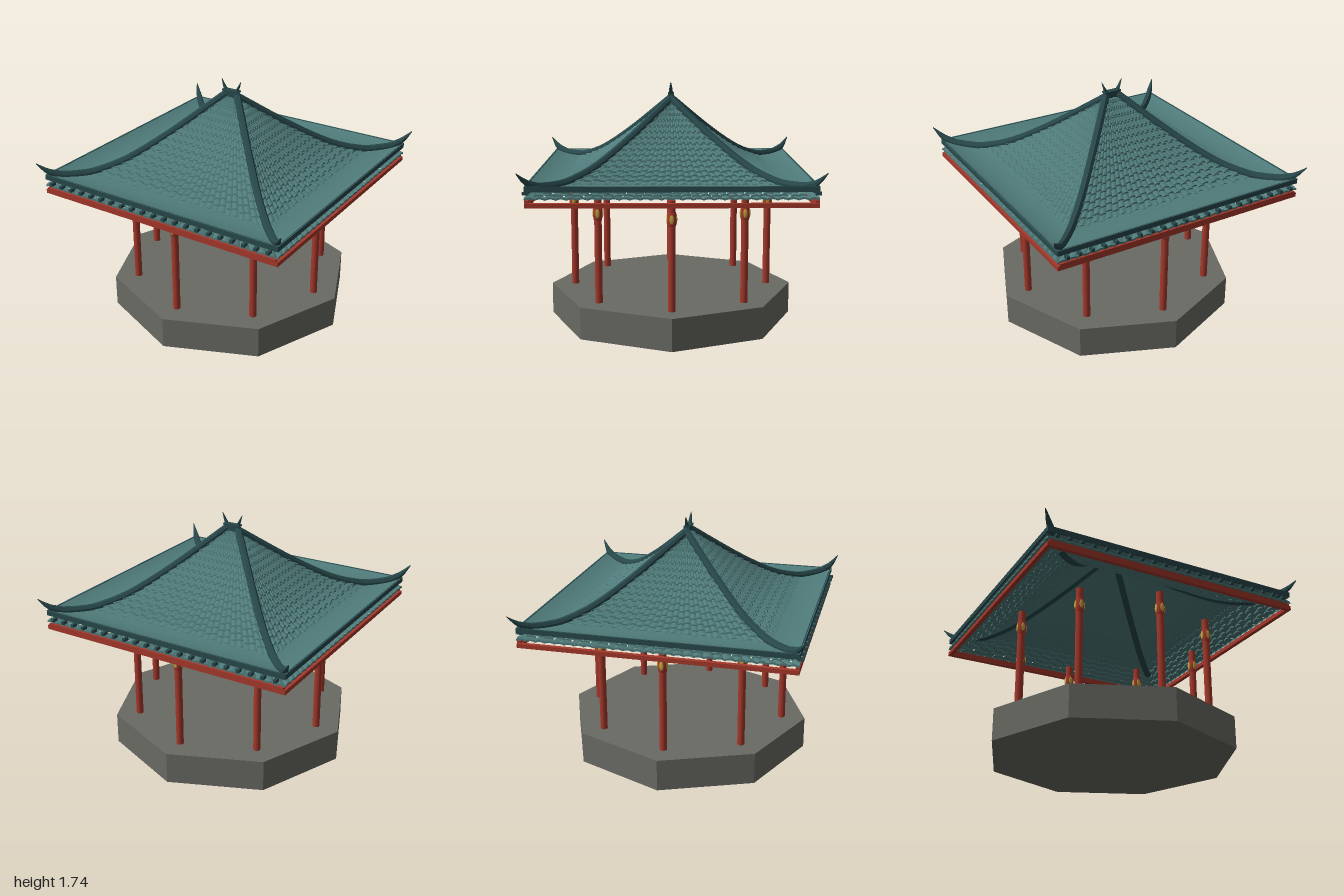
import * as THREE from 'three';
import { mergeGeometries } from 'three/addons/utils/BufferGeometryUtils.js';

const material = (name, color, side = THREE.FrontSide) => {
  const m = new THREE.MeshStandardMaterial({ color, side });
  m.name = name;
  return m;
};

// Roof curves: x is the way from the peak (0) to the eave (1), y is the height
const curve = (pts) => new THREE.SplineCurve(pts.map(([s, y]) => new THREE.Vector2(s, y)));
const UPPER = [[0, 1.62], [0.31, 1.36], [0.55, 1.19]];
const SHEET = curve([...UPPER, [0.72, 1.118], [0.82, 1.105], [0.92, 1.112], [1, 1.132]]);
const TILES = curve([...UPPER, [0.72, 1.11], [0.85, 1.065], [1, 1.04]]);
const HALF = 0.95;
const PEAK = 0.05;

// A point on roof side k, u running from corner (-1) to corner (1)
function onRoof(k, s, u, y) {
  const X = PEAK + (HALF - PEAK) * s;
  const Z = HALF * s;
  return [[u * X, y, Z], [X, y, -u * Z], [-u * X, y, -Z], [-X, y, u * Z]][k];
}

// Bend a plane by a rule; a and b run 0..1 across and down it
function bentPlane(cols, rows, rule) {
  const g = new THREE.PlaneGeometry(1, 1, cols, rows);
  const p = g.attributes.position;
  for (let i = 0; i < p.count; i++) p.setXYZ(i, ...rule(p.getX(i) + 0.5, 0.5 - p.getY(i)));
  g.computeVertexNormals();
  return g;
}

function roofSheet(k) {
  return bentPlane(2, 36, (a, b) => {
    const c = SHEET.getPoint(b);
    return onRoof(k, c.x, a * 2 - 1, c.y);
  });
}

// Overlapping arched tiles fanning out from the peak
function roofTiles(k) {
  const COLS = 28, ROWS = 20, parts = [];
  const samples = TILES.getSpacedPoints(ROWS * 4);
  for (let i = 0; i < COLS; i++) {
    const shift = i % 2;
    for (let j = 0; j < ROWS; j++) {
      const top = samples[Math.max(0, j * 4 - shift)];
      const low = samples[j === ROWS - 1 ? ROWS * 4 : j * 4 + 4 - shift];
      const g = bentPlane(4, 2, (a, b) => {
        const c = b < 0.25 ? top : low;
        const lift = b < 0.25 ? 0.002 : b < 0.75 ? 0.013 : 0;
        const arch = 0.009 * Math.sin(Math.PI * a) * (0.3 + 0.7 * c.x);
        return onRoof(k, c.x, ((i + a) / COLS) * 2 - 1, c.y + lift + arch);
      }).toNonIndexed();
      g.computeVertexNormals();
      parts.push(g);
    }
  }
  return mergeGeometries(parts);
}

// Tapering ridge: a six-sided section swept along points [x, y, z, scale]
function ridge(points, width) {
  const section = [[-1, -0.022], [1, -0.022], [1, 0.01], [0.5, 0.03], [-0.5, 0.03], [-1, 0.01]];
  const first = points[0], last = points[points.length - 1];
  const dir = new THREE.Vector2(last[0] - first[0], last[2] - first[2]).normalize();
  const pos = [], index = [], n = section.length;
  points.forEach(([x, y, z, k], r) => {
    for (const [a, h] of section) pos.push(x + dir.y * a * width * k, y + h * k, z - dir.x * a * width * k);
    if (r === 0) return;
    for (let i = 0; i < n; i++) {
      const a = (r - 1) * n + i, b = (r - 1) * n + (i + 1) % n;
      index.push(a, a + n, b, b, a + n, b + n);
    }
  });
  const g = new THREE.BufferGeometry();
  g.setAttribute('position', new THREE.Float32BufferAttribute(pos, 3));
  g.setIndex(index);
  const flat = g.toNonIndexed();
  flat.computeVertexNormals();
  return flat;
}

export function createModel() {
  const model = new THREE.Group();
  const stone = material('stone', 0x6a6a64);
  const red = material('red lacquer', 0xa5382b);
  const gold = material('gold', 0xc9a640);
  const teal = material('teal tile', 0x4f7b7a, THREE.DoubleSide);
  const dark = material('dark teal', 0x28484b, THREE.DoubleSide);

  const add = (parent, name, geometry, mat, x = 0, y = 0, z = 0) => {
    const mesh = new THREE.Mesh(geometry, mat);
    mesh.name = name;
    mesh.position.set(x, y, z);
    parent.add(mesh);
    return mesh;
  };
  const box = (parent, name, mat, w, h, d, x, y, z) =>
    add(parent, name, new THREE.BoxGeometry(w, h, d), mat, x, y, z);

  // Octagonal platform
  const base = new THREE.CylinderGeometry(0.895, 0.895, 0.23, 8).toNonIndexed();
  base.computeVertexNormals();
  add(model, 'platform', base, stone, 0, 0.115, 0);

  // Eight columns, each with a barrel band and gold ornaments
  const shaft = new THREE.CylinderGeometry(0.026, 0.026, 0.77, 20);
  const band = new THREE.LatheGeometry(
    [[0.02, 0.82], [0.029, 0.822], [0.033, 0.87], [0.029, 0.918], [0.02, 0.92]].map(([r, y]) => new THREE.Vector2(r, y)), 20);
  const ornament = new THREE.SphereGeometry(1, 10, 8).scale(0.015, 0.032, 0.005);
  for (let i = 0; i < 8; i++) {
    const angle = (i * Math.PI) / 4;
    const column = new THREE.Group();
    column.name = 'column';
    column.position.set(0.72 * Math.sin(angle), 0, 0.72 * Math.cos(angle));
    add(column, 'columnShaft', shaft, red, 0, 0.615, 0);
    add(column, 'columnBand', band, red);
    for (let q = 0; q < 4; q++) {
      const a = (q * Math.PI) / 2;
      add(column, 'bandOrnament', ornament, gold, 0.032 * Math.sin(a), 0.872, 0.032 * Math.cos(a)).rotation.y = a;
    }
    model.add(column);
  }

  // Square ring of beams, the eave rim and the rafter tips
  for (const side of [-1, 1]) {
    box(model, 'sideBeam', red, 0.03, 0.03, 1.9, side * 0.935, 1.005, 0);
    box(model, 'crossBeam', red, 1.84, 0.03, 0.03, 0, 1.005, side * 0.935);
    box(model, 'upperCrossBeam', red, 1.87, 0.016, 0.026, 0, 1.028, side * 0.938);
    box(model, 'eaveRim', dark, 1.9, 0.036, 0.012, 0, 1.113, side * 0.944);
    box(model, 'eaveRim', dark, 0.012, 0.036, 1.876, side * 0.944, 1.113, 0);
    for (let i = -10; i <= 10; i++) {
      box(model, 'rafterTip', dark, 0.022, 0.022, 0.04, i * 0.0885, 1.075, side * 0.95);
    }
  }

  // Four roof slopes
  for (let k = 0; k < 4; k++) {
    add(model, 'roofSheet', roofSheet(k), teal);
    add(model, 'roofTiles', roofTiles(k), teal);
  }

  // Hip ridges ending in upturned horns, and the short top ridge
  const hipPath = [];
  for (let i = 0; i <= 22; i++) {
    const c = SHEET.getPoint((i / 22) * 0.82);
    hipPath.push([PEAK + (HALF - PEAK) * c.x, c.y + 0.004, HALF * c.x, 1]);
  }
  hipPath.push([0.925, 1.143, 0.925, 0.85], [0.958, 1.178, 0.958, 0.55], [0.99, 1.222, 0.99, 0.12]);
  const hornPath = [[0.035, 1.645, 0, 0.7], [0.055, 1.675, 0, 0.6], [0.068, 1.705, 0, 0.4], [0.08, 1.735, 0, 0.1]];
  for (const sx of [-1, 1]) {
    for (const sz of [-1, 1]) {
      add(model, 'hipRidge', ridge(hipPath.map(([x, y, z, k]) => [x * sx, y, z * sz, k]), 0.025), dark);
    }
    add(model, 'peakHorn', ridge(hornPath.map(([x, y, z, k]) => [x * sx, y, z, k]), 0.022), dark);
  }
  box(model, 'topRidge', dark, 0.11, 0.04, 0.034, 0, 1.634, 0);
  box(model, 'topRidgeCap', dark, 0.13, 0.012, 0.044, 0, 1.658, 0);
  return model;
}
